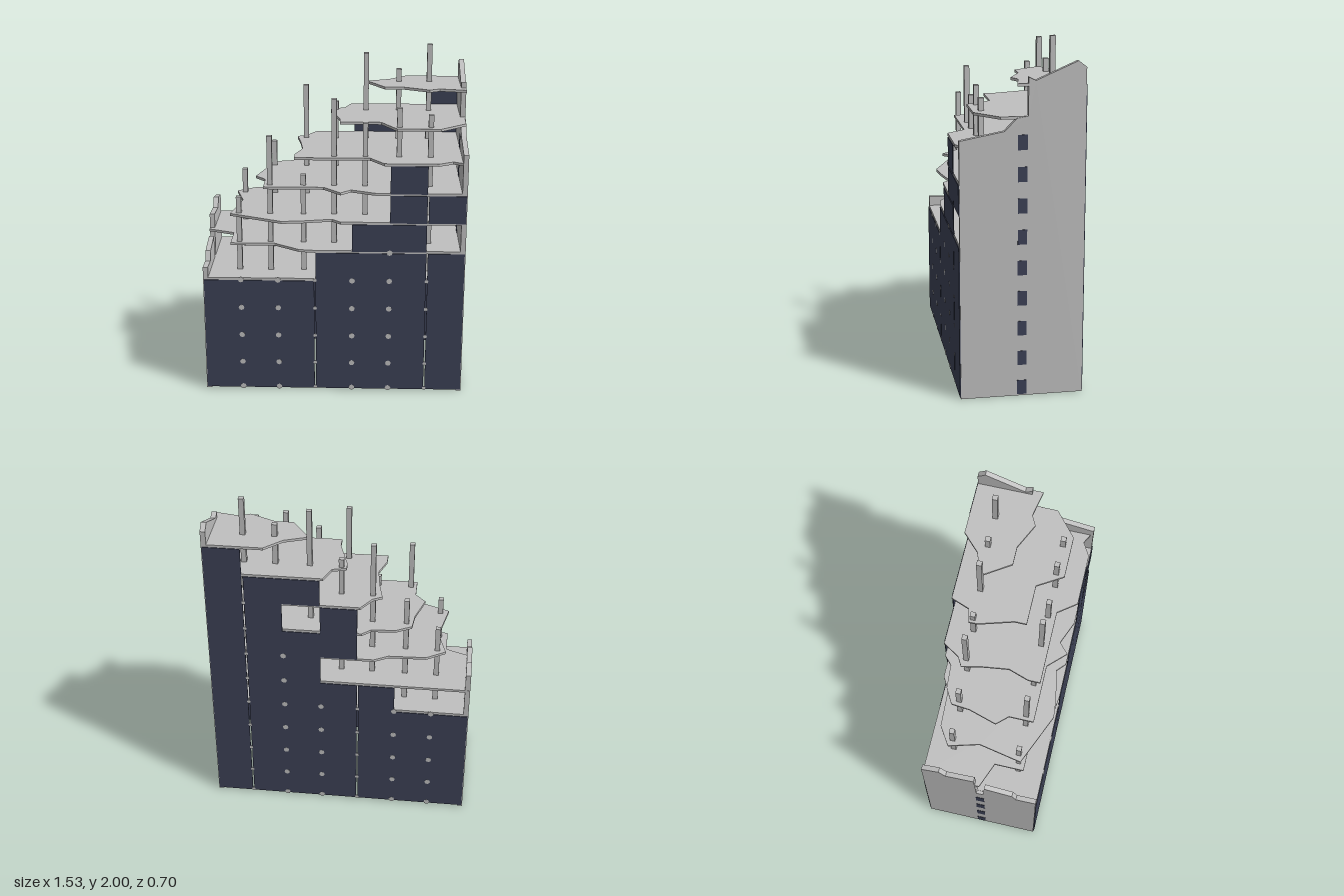
import * as THREE from 'three';

const H = 0.176;          // storey height
const BAY = 1.52 / 7;     // facade bay width
const T = 0.015;          // slab thickness

export function createModel() {
  const concrete = new THREE.MeshStandardMaterial({ color: 0xc0c0c0 });
  concrete.name = 'concrete';
  const glass = new THREE.MeshStandardMaterial({ color: 0x3c4156 });
  glass.name = 'dark glass';

  const root = new THREE.Group();
  root.name = 'unfinishedBuilding';
  const group = (name) => {
    const g = new THREE.Group();
    g.name = name;
    root.add(g);
    return g;
  };
  const add = (parent, name, geometry, material) => {
    const m = new THREE.Mesh(geometry, material);
    m.name = name;
    parent.add(m);
    return m;
  };
  const box = (parent, name, material, x0, x1, y0, y1, z0, z1) => {
    const m = add(parent, name, new THREE.BoxGeometry(x1 - x0, y1 - y0, z1 - z0), material);
    m.position.set((x0 + x1) / 2, (y0 + y1) / 2, (z0 + z1) / 2);
    return m;
  };
  const extrude = (points, depth) => new THREE.ExtrudeGeometry(
    new THREE.Shape(points.map(([x, y]) => new THREE.Vector2(x, y))),
    { depth, bevelEnabled: false });

  // Floor slabs with broken edges, outlines as [x, z]
  const B = -0.346, F = 0.346, R = 0.76;
  const slabs = {
    4: [[-0.745, B], [0.745, B], [0.745, F], [-0.745, F]],
    5: [[R, B], [R, F], [-0.11, F], [-0.2, 0.335], [-0.35, 0.235], [-0.61, 0.235], [-0.61, 0.06],
      [-0.764, 0], [-0.762, B]],
    6: [[R, B], [R, F], [0.04, F], [-0.01, 0.3], [-0.19, 0.335], [-0.3, F], [-0.61, 0.215],
      [-0.56, -0.04], [-0.61, -0.22], [-0.5, -0.29], [-0.28, -0.3], [-0.2, B]],
    7: [[R, B], [R, F], [0.24, F], [0.1, 0.29], [0.04, F], [-0.06, 0.245], [-0.41, 0.245],
      [-0.41, 0.1], [-0.47, 0.035], [-0.42, -0.13], [-0.41, -0.24], [-0.32, -0.29], [-0.18, -0.3], [-0.13, B]],
    8: [[R, B], [R, 0.34], [0.68, 0.3], [0.6, F], [0.29, F], [0.21, 0.24], [-0.23, 0.24],
      [-0.23, 0.17], [-0.19, 0.05], [-0.21, -0.1], [-0.235, -0.22], [-0.18, -0.25], [-0.12, B]],
    9: [[R, B], [R, 0.12], [0.61, 0.245], [0.36, 0.245], [0.27, 0.1], [0.03, 0.1],
      [0.03, 0.03], [-0.03, -0.17], [-0.03, -0.22], [0.05, -0.24], [0.09, B]],
    10: [[R, B], [0.764, 0.03], [0.61, 0], [0.55, 0.03], [0.4, -0.04], [0.29, -0.04],
      [0.185, -0.2], [0.32, -0.25], [0.42, B]],
  };
  const floors = group('floorSlabs');
  for (const [level, outline] of Object.entries(slabs)) {
    const geo = extrude(outline.map(([x, z]) => [x, -z]), T);
    geo.rotateX(-Math.PI / 2);
    add(floors, 'floorSlab', geo, concrete).position.y = level * H;
  }

  // End walls with ragged tops, outlines as [z, y], each with a column of windows
  const walls = group('endWalls');
  const endWall = (name, outline, x, windows) => {
    const geo = extrude(outline.map(([z, y]) => [-z, y]), 0.03);
    geo.rotateY(Math.PI / 2);
    add(walls, name, geo, concrete).position.x = x;
    for (let i = 0; i < windows; i++) {
      box(walls, 'wallWindow', glass, x - 0.002, x + 0.032,
        i * H + 0.008, i * H + 0.092, -0.026, 0.026);
    }
  };
  endWall('leftEndWall', [[0.345, 0], [0.345, 1.475], [0.1, 1.52], [0.03, 1.59], [-0.03, 1.6],
    [-0.03, 1.81], [-0.07, 1.79], [-0.3, 1.89], [-0.345, 1.855], [-0.345, 0]], 0.735, 9);
  endWall('rightEndWall', [[0.345, 0], [0.345, 0.78], [0.225, 0.775], [0.2, 0.83], [0.03, 0.86],
    [0.02, 0.715], [-0.02, 0.715], [-0.03, 0.98], [-0.2, 0.965], [-0.24, 1.02], [-0.345, 1.0],
    [-0.345, 0]], -0.765, 4);

  // Columns: [x, top of front one, top of back one]
  const columns = group('columns');
  const tops = [[-0.56, 1.17, 1.22], [-0.375, 1.54, 1.4], [-0.18, 1.31, 1.75], [0, 1.76, 1.65],
    [0.18, 1.62, 1.945], [0.375, 1.71, 1.85], [0.555, 1.67, 2]];
  for (const [x, front, back] of tops) {
    for (const [z, top] of [[0.195, front], [-0.2, back]]) {
      box(columns, 'column', concrete, x - 0.015, x + 0.015, 4 * H, top, z - 0.015, z + 0.015);
    }
  }

  // Glass facades: glazed bays of each storey above the fourth
  const glazed = {
    front: [[3, 4, 5, 6], [4, 5], [5, 6], [5], [], []],
    back: [[2, 3, 4, 5, 6], [4, 5, 6], [3, 4, 5, 6], [3, 5, 6], [4, 5, 6], [6]],
  };
  for (const side of ['front', 'back']) {
    const s = side === 'front' ? 1 : -1;
    const facade = group(side + 'Facade');
    const has = (bay, storey) => storey < 4
      ? storey >= 0 && bay >= 0 && bay < 7
      : (glazed[side][storey - 4] || []).includes(bay);
    const edge = (i) => -0.76 + i * BAY;

    for (let storey = 0; storey < 10; storey++) {
      for (let bay = 0; bay < 7; bay++) {
        if (!has(bay, storey)) continue;
        // Narrow joints at bays 3 and 6
        const x0 = edge(bay) + (bay === 3 || bay === 6 ? 0.004 : 0);
        const x1 = edge(bay + 1) - (bay === 2 || bay === 5 ? 0.004 : 0);
        const y0 = storey * H + (storey === 0 || (s > 0 && storey > 4) || !has(bay, storey - 1) ? 0.01 : 0);
        const y1 = (storey + 1) * H;
        box(facade, 'glassPanel', glass, x0, x1, y0, y1, s * 0.3475 - 0.0025, s * 0.3475 + 0.0025);
      }
    }

    // Clamps where the glass panels meet
    for (let level = 0; level < 10; level++) {
      for (let i = 1; i < 7; i++) {
        const above = has(i - 1, level) && has(i, level);
        const below = level === 0 || (has(i - 1, level - 1) && has(i, level - 1));
        if (!below || (!above && level !== 4)) continue;
        const r = i === 3 || i === 6 ? 0.011 : 0.017;
        const clamp = add(facade, 'glassClamp', new THREE.CylinderGeometry(r, r, 0.008, 8), concrete);
        clamp.rotation.x = Math.PI / 2;
        clamp.position.set(edge(i), Math.max(level * H + 0.004, 0.017), s * 0.347);
      }
    }
  }
  return root;
}
